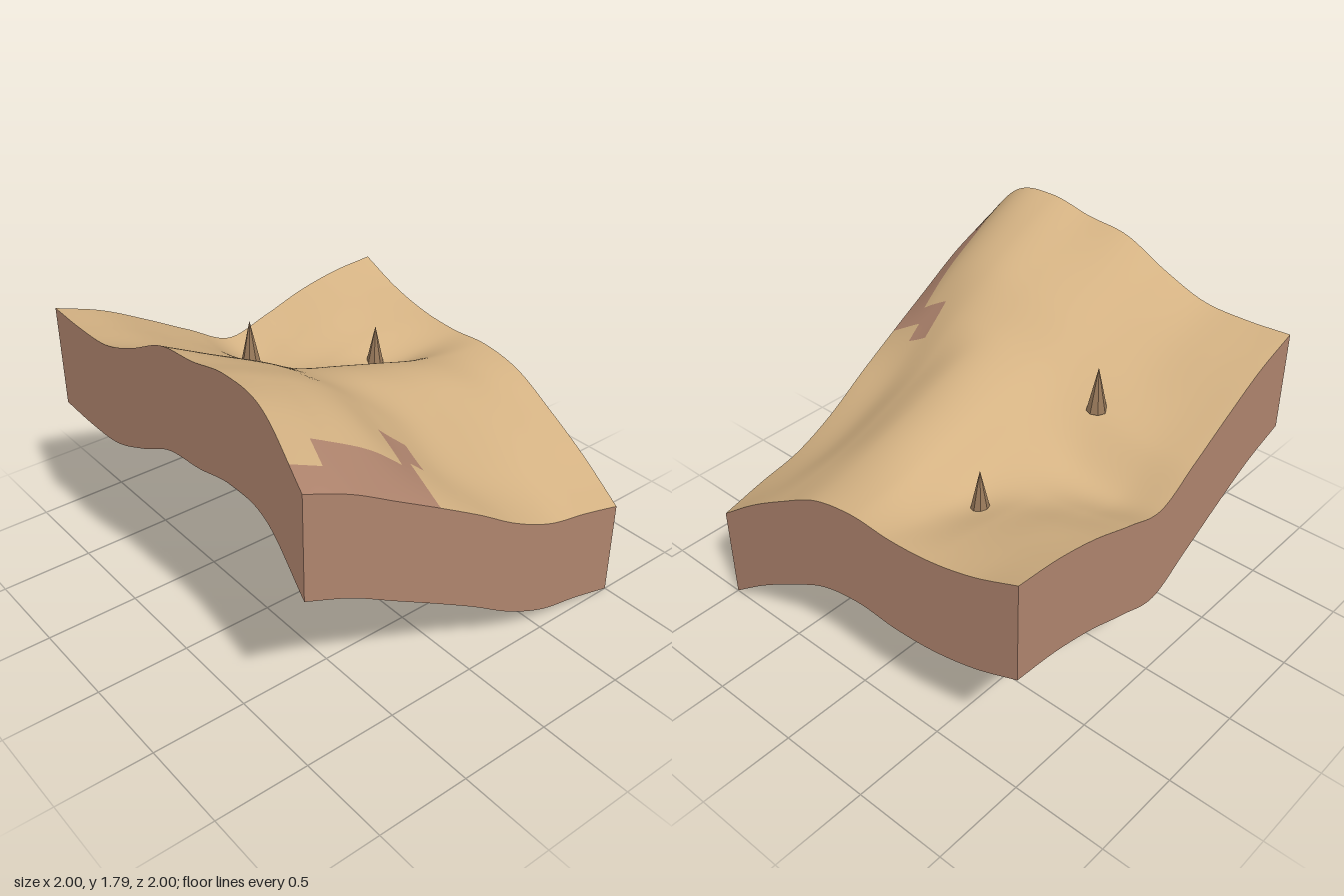
import * as THREE from 'three';

const N = 96;        // cells per side
const DROP = 0.535;  // height of the side walls

// Height profiles from x = -1 to 1, one every 0.25 in z, back to front
const profiles = [
  [1.23, 1.13, 1.07, 1.05, 1.06, 1.01, 0.875, 0.72, 0.535],
  [1.21, 1.13, 1.06, 1.01, 1.08, 1.05, 0.92, 0.75, 0.60],
  [1.16, 1.10, 1.03, 0.985, 1.13, 1.13, 0.98, 0.79, 0.655],
  [1.08, 1.02, 0.99, 1.04, 1.20, 1.21, 1.07, 0.88, 0.77],
  [1.02, 0.965, 1.00, 1.12, 1.27, 1.30, 1.18, 1.02, 0.93],
  [1.15, 1.14, 1.18, 1.24, 1.34, 1.385, 1.36, 1.23, 1.08],
  [1.29, 1.28, 1.30, 1.37, 1.47, 1.53, 1.55, 1.46, 1.225],
  [1.42, 1.41, 1.42, 1.49, 1.59, 1.645, 1.68, 1.61, 1.37],
  [1.51, 1.497, 1.51, 1.60, 1.715, 1.745, 1.79, 1.745, 1.48],
];

// Catmull-Rom through evenly spaced values, u from -1 to 1
function spline(v, u) {
  const last = v.length - 1;
  const s = (u + 1) / 2 * last;
  const i = Math.max(0, Math.min(last - 1, Math.floor(s)));
  const t = s - i, b = v[i], c = v[i + 1];
  const a = i > 0 ? v[i - 1] : 2 * b - c;
  const d = i + 2 <= last ? v[i + 2] : 2 * c - b;
  return b + 0.5 * t * (c - a + t * (2 * a - 5 * b + 4 * c - d + t * (3 * (b - c) + d - a)));
}
const height = (x, z) => spline(profiles.map((row) => spline(row, x)), z);
const coord = (i) => -1 + 2 * i / N;

// Bare clay areas on the slope: x0, x1, z0, z1
const clayAreas = [
  [0.8333, 1, 0.25, 0.8333],
  [0.9167, 1, 0.8333, 1],
  [0.6667, 0.8, 0.1667, 0.3333],
  [0.8, 0.8333, 0.25, 0.3333],
];
const isClay = (x, z) => clayAreas.some(([x0, x1, z0, z1]) => x > x0 && x < x1 && z > z0 && z < z1);

function makeGeometry(positions, index) {
  const g = new THREE.BufferGeometry();
  g.setAttribute('position', new THREE.Float32BufferAttribute(positions, 3));
  g.setIndex(index);
  g.computeVertexNormals();
  return g;
}

// Rolling ground: group 0 is sand, group 1 is clay
function groundGeometry() {
  const pos = [], sand = [], clay = [];
  for (let j = 0; j <= N; j++) {
    for (let i = 0; i <= N; i++) pos.push(coord(i), height(coord(i), coord(j)), coord(j));
  }
  for (let j = 0; j < N; j++) {
    for (let i = 0; i < N; i++) {
      const a = j * (N + 1) + i, b = a + 1, c = a + N + 1, d = c + 1;
      const target = isClay(coord(i + 0.5), coord(j + 0.5)) ? clay : sand;
      target.push(a, c, b, b, c, d);
    }
  }
  const g = makeGeometry(pos, sand.concat(clay));
  g.addGroup(0, sand.length, 0);
  g.addGroup(sand.length, clay.length, 1);
  return g;
}

// Wall hanging from one edge; edge(t) runs left to right seen from outside
function wallGeometry(edge) {
  const pos = [], index = [];
  for (let i = 0; i <= N; i++) {
    const [x, z] = edge(coord(i));
    const y = height(x, z);
    pos.push(x, y, z, x, y - DROP, z);
    if (i < N) {
      const a = 2 * i;
      index.push(a, a + 1, a + 2, a + 2, a + 1, a + 3);
    }
  }
  return makeGeometry(pos, index);
}

export function createModel() {
  const sand = new THREE.MeshStandardMaterial({ color: 0xd4b283, side: THREE.DoubleSide });
  sand.name = 'sand';
  const clay = new THREE.MeshStandardMaterial({ color: 0xb0856e, side: THREE.DoubleSide });
  clay.name = 'clay';
  const rock = new THREE.MeshStandardMaterial({ color: 0x98795a, flatShading: true });
  rock.name = 'rock';

  const model = new THREE.Group();
  model.name = 'terrainTile';
  const add = (name, geometry, material) => {
    const mesh = new THREE.Mesh(geometry, material);
    mesh.name = name;
    model.add(mesh);
    return mesh;
  };

  add('ground', groundGeometry(), [sand, clay]);

  // Open skirt around the tile
  add('frontWall', wallGeometry((t) => [t, 1]), clay);
  add('leftWall', wallGeometry((t) => [1, -t]), clay);
  add('backWall', wallGeometry((t) => [-t, -1]), clay);
  add('rightWall', wallGeometry((t) => [-1, t]), clay);

  // Pointed rocks: x, tip height, z
  for (const [x, tip, z] of [[-0.335, 1.195, -0.5], [-0.42, 1.43, 0.25]]) {
    const spike = add('rockSpike', new THREE.ConeGeometry(0.052, 0.24, 8), rock);
    spike.position.set(x, tip - 0.12, z);
  }
  return model;
}
